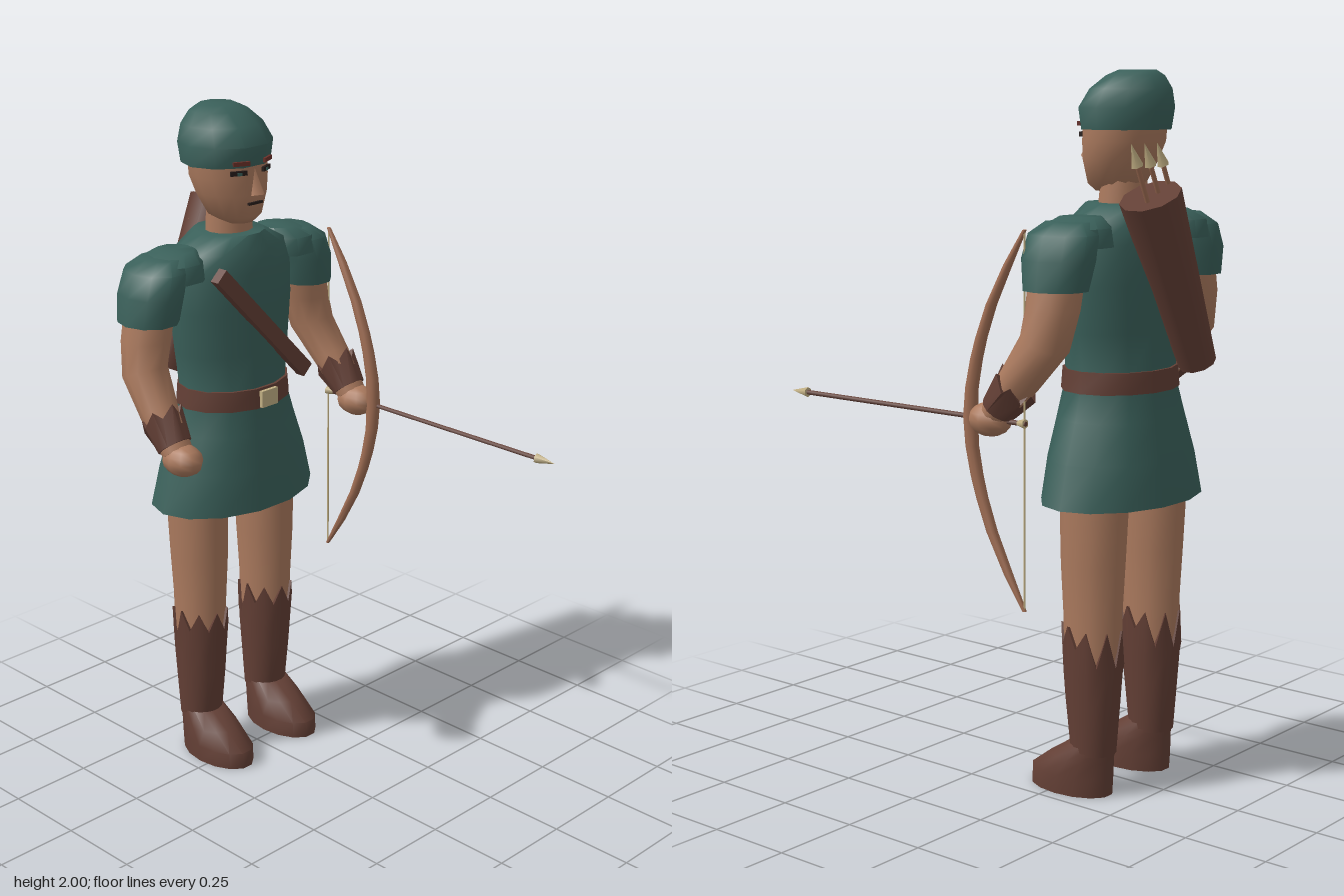
import * as THREE from 'three';
import { toCreasedNormals } from 'three/addons/utils/BufferGeometryUtils.js';

const mat = (name, color) => Object.assign(new THREE.MeshStandardMaterial({ color }), { name });

export function createModel() {
  const root = new THREE.Group();
  root.name = 'archer';
  const green = mat('green cloth', 0x3a605a);
  const skin = mat('skin', 0xab7a5e);
  const leather = mat('brown leather', 0x633f35);
  const wood = mat('bow wood', 0xa06e54);
  const tan = mat('pale brass', 0xc2b084);
  const dark = mat('dark line', 0x261c1a);
  const brow = mat('brow', 0x6a3029);

  const add = (name, geo, material, parent = root) => {
    const mesh = new THREE.Mesh(geo, material);
    mesh.name = name;
    parent.add(mesh);
    return mesh;
  };
  const place = (mesh, x, y, z) => (mesh.position.set(x, y, z), mesh);

  // Closed skin over elliptical rings, bottom to top: [cx, cy, cz, rx, rz, tilt].
  // jag(angle) shifts the height of the top ring.
  function loft(rings, n = 14, jag = null, crease = 0.9) {
    const pos = [], idx = [];
    rings.forEach(([cx, cy, cz, rx, rz, tilt = 0], i) => {
      for (let j = 0; j < n; j++) {
        const a = (j / n) * Math.PI * 2, s = rz * Math.sin(a);
        const lift = jag && i === rings.length - 1 ? jag(j, a) : 0;
        pos.push(cx + rx * Math.cos(a), cy + s * Math.sin(tilt) + lift, cz + s * Math.cos(tilt));
      }
    });
    const last = rings.length - 1, bottom = rings.length * n, top = bottom + 1;
    pos.push(...rings[0].slice(0, 3), ...rings[last].slice(0, 3));
    for (let j = 0; j < n; j++) {
      const k = (j + 1) % n;
      for (let i = 0; i < last; i++) {
        const a = i * n + j, b = i * n + k;
        idx.push(a, a + n, b, b, a + n, b + n);
      }
      idx.push(bottom, j, k, top, last * n + k, last * n + j);
    }
    const g = new THREE.BufferGeometry();
    g.setAttribute('position', new THREE.Float32BufferAttribute(pos, 3));
    g.setIndex(idx);
    return toCreasedNormals(g, crease);
  }
  // Ring given by its front and back depth
  const fb = (y, rx, front, back, x = 0) => [x, y, (front + back) / 2, rx, (front - back) / 2];

  // Tunic: skirt, waist, chest and neckline
  add('tunic', loft([
    fb(0.83, 0.28, -0.154, -0.535), fb(0.95, 0.248, -0.163, -0.52), fb(1.06, 0.208, -0.18, -0.498),
    fb(1.17, 0.172, -0.197, -0.475), fb(1.3, 0.19, -0.198, -0.477), fb(1.43, 0.205, -0.198, -0.48),
    fb(1.54, 0.205, -0.202, -0.478), fb(1.6, 0.185, -0.215, -0.468), fb(1.645, 0.1, -0.235, -0.45),
  ]), green);
  add('belt', loft([fb(1.137, 0.186, -0.185, -0.487), fb(1.197, 0.18, -0.188, -0.484)]), leather);
  place(add('buckle', new THREE.BoxGeometry(0.062, 0.05, 0.012), tan), 0, 1.166, -0.182);
  const strap = place(add('chestStrap', new THREE.BoxGeometry(0.49, 0.046, 0.03), leather), -0.012, 1.39, -0.192);
  strap.rotation.z = -0.81;

  // Head and cap
  add('neck', loft([fb(1.6, 0.075, -0.27, -0.41), fb(1.72, 0.07, -0.285, -0.4)]), skin);
  add('head', loft([
    fb(1.675, 0.045, -0.255, -0.36), fb(1.695, 0.075, -0.236, -0.4), fb(1.76, 0.106, -0.229, -0.432),
    fb(1.81, 0.119, -0.231, -0.452), fb(1.88, 0.12, -0.236, -0.458),
  ]), skin);
  add('cap', loft([
    fb(1.842, 0.134, -0.228, -0.472), fb(1.9, 0.14, -0.217, -0.484), fb(1.95, 0.12, -0.25, -0.478),
    fb(1.985, 0.088, -0.3, -0.456), fb(2.0, 0.055, -0.335, -0.435),
  ], 10), green);
  const nose = place(add('nose', new THREE.ConeGeometry(0.026, 0.075, 4), skin), 0, 1.8, -0.225);
  nose.rotation.x = -0.15;
  place(add('mouth', new THREE.BoxGeometry(0.052, 0.007, 0.008), dark), 0, 1.737, -0.23);

  for (const s of [1, -1]) {
    const side = new THREE.Group();
    side.name = s > 0 ? 'leftSide' : 'rightSide';
    root.add(side);

    // Eye and brow plates
    const eye = place(add('eye', new THREE.BoxGeometry(0.05, 0.013, 0.008), dark, side), s * 0.053, 1.828, -0.24);
    const iris = place(add('iris', new THREE.BoxGeometry(0.014, 0.009, 0.008), green, side), s * 0.052, 1.826, -0.238);
    const eyebrow = place(add('eyebrow', new THREE.BoxGeometry(0.05, 0.012, 0.008), brow, side), s * 0.05, 1.856, -0.231);
    eye.rotation.y = iris.rotation.y = eyebrow.rotation.y = s * 0.42;

    // Leg, boot with torn cuff, and foot
    const x = s * 0.137;
    add('leg', loft([
      fb(0.3, 0.064, -0.275, -0.425, x), fb(0.42, 0.071, -0.265, -0.438, x), fb(0.52, 0.072, -0.262, -0.438, x),
      fb(0.66, 0.08, -0.255, -0.445, x), fb(0.9, 0.088, -0.25, -0.457, x)]), skin, side);
    const cuff = (j, a) => (j % 2 ? 0.03 : -0.03) * (Math.sin(a) < -0.3 ? 1.7 : 1) - (Math.sin(a) < -0.3 ? 0.03 : 0);
    add('boot', loft([
      fb(0.12, 0.063, -0.29, -0.42, x), fb(0.27, 0.071, -0.272, -0.432, x),
      fb(0.35, 0.075, -0.265, -0.438, x), fb(0.46, 0.079, -0.257, -0.443, x)], 18, cuff), leather, side);
    add('foot', loft([
      fb(0, 0.079, -0.145, -0.412, x), fb(0.05, 0.08, -0.148, -0.415, x), fb(0.1, 0.074, -0.215, -0.415, x),
      fb(0.145, 0.063, -0.285, -0.418, x)]), leather, side);

    // Sleeve and shoulder yoke
    add('sleeve', loft([
      [s * 0.307, 1.43, -0.35, 0.084, 0.095], [s * 0.295, 1.51, -0.35, 0.086, 0.11],
      [s * 0.275, 1.575, -0.35, 0.083, 0.104], [s * 0.255, 1.607, -0.35, 0.055, 0.066]], 10), green, side);
    add('shoulderYoke', loft([
      [s * 0.22, 1.54, -0.35, 0.1, 0.108], [s * 0.22, 1.59, -0.35, 0.094, 0.1],
      [s * 0.2, 1.618, -0.35, 0.055, 0.06]], 10), green, side);

    // Bent arm, bracer and fist
    add('arm', loft([
      [s * 0.355, 1.09, -0.185, 0.045, 0.043, 0.67], [s * 0.35, 1.19, -0.265, 0.057, 0.056, 0.67],
      [s * 0.336, 1.29, -0.338, 0.066, 0.07, 0.35], [s * 0.318, 1.38, -0.35, 0.072, 0.075, 0],
      [s * 0.3, 1.47, -0.35, 0.074, 0.076, 0]], 12), skin, side);
    add('bracer', loft([
      [s * 0.355, 1.105, -0.197, 0.052, 0.05, 0.67], [s * 0.352, 1.175, -0.253, 0.062, 0.06, 0.67]],
      12, (j) => (j % 2 ? 0.016 : -0.016)), leather, side);
    const hand = place(add('hand', new THREE.SphereGeometry(1, 10, 8), skin, side), s * 0.355, 1.073, -0.165);
    hand.scale.set(0.053, 0.047, 0.066);
  }

  // Bow, string and nocked arrow
  const bx = 0.355;
  const limb = [[0, -0.095, 0.021], [0.08, -0.1, 0.019], [0.16, -0.117, 0.018], [0.22, -0.135, 0.017],
    [0.31, -0.17, 0.016], [0.42, -0.228, 0.013], [0.515, -0.285, 0.006]];
  const bowRings = [...limb.slice(1).reverse().map(([h, z, r]) => [bx, 1.073 - h, z, r, r]),
    ...limb.map(([h, z, r]) => [bx, 1.073 + h, z, r, r])];
  add('bow', loft(bowRings, 10), wood);
  place(add('bowString', new THREE.CylinderGeometry(0.003, 0.003, 1.03, 5), tan), bx, 1.073, -0.285);

  const arrow = new THREE.Group();
  arrow.name = 'nockedArrow';
  arrow.position.set(bx, 1.073, 0);
  arrow.rotation.x = Math.PI / 2;
  root.add(arrow);
  place(add('shaft', new THREE.CylinderGeometry(0.007, 0.007, 0.84, 6), leather, arrow), 0, 0.13, 0);
  place(add('arrowHead', new THREE.ConeGeometry(0.015, 0.065, 6), tan, arrow), 0, 0.5675, 0);
  place(add('fletching', new THREE.ConeGeometry(0.014, 0.05, 6), tan, arrow), 0, -0.262, 0);

  // Slanted quiver with three arrows
  const quiver = new THREE.Group();
  quiver.name = 'quiver';
  quiver.position.set(0.003, 1.44, -0.516);
  quiver.rotation.z = -0.454;
  root.add(quiver);
  add('quiverBody', new THREE.CylinderGeometry(0.085, 0.053, 0.52, 10), leather, quiver);
  for (const [x, y] of [[-0.07, 0.378], [-0.02, 0.402], [0.032, 0.428]]) {
    place(add('spareShaft', new THREE.CylinderGeometry(0.007, 0.007, 0.16, 6), wood, quiver), x, y - 0.12, -0.012);
    place(add('spareTip', new THREE.ConeGeometry(0.017, 0.065, 6), tan, quiver), x, y - 0.03, -0.012);
  }
  return root;
}
